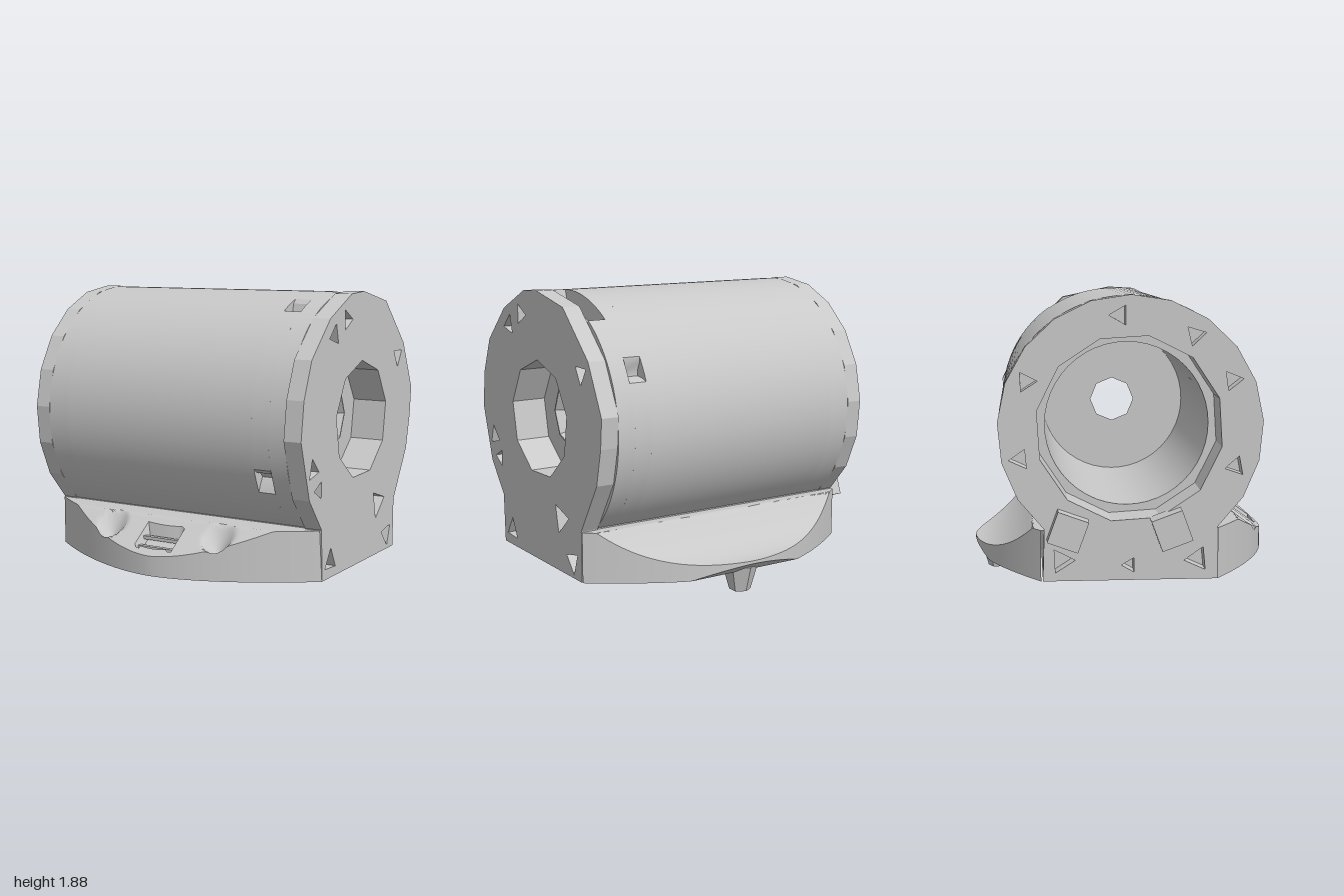
import * as THREE from 'three';
import { toCreasedNormals } from 'three/addons/utils/BufferGeometryUtils.js';

const CY = 1.105;        // height of the bore axis
const BASE = 0.21;       // underside of the foot
const rad = THREE.MathUtils.degToRad;
const points = list => list.map(p => new THREE.Vector2(...p));

export function createModel() {
  const model = new THREE.Group();
  const metal = new THREE.MeshStandardMaterial({ color: 0xc8c8c8 });

  function add(name, geometry, x = 0, y = 0, z = 0) {
    const mesh = new THREE.Mesh(geometry, metal);
    mesh.name = name;
    mesh.position.set(x, y, z);
    model.add(mesh);
    return mesh;
  }

  // Regular polygon hole in the cross-section plane (u = -z, v = y)
  function ngon(u, v, r, n, turn = 0) {
    const pts = [];
    for (let i = 0; i < n; i++) {
      const a = turn + i / n * Math.PI * 2;
      pts.push([u + r * Math.cos(a), v + r * Math.sin(a)]);
    }
    return new THREE.Path(points(pts));
  }

  // Keyhole outline: round barrel on a straight-sided foot, with optional notches
  function outline(r, n, notches = []) {
    const a0 = Math.asin((0.52 - CY) / r);
    const pts = [[-0.52, BASE], [0.51, BASE]];
    for (let i = 0; i <= n; i++) {
      const a = a0 + (Math.PI - 2 * a0) * i / n;
      let d = 0;
      for (const k of notches) {
        const off = Math.abs(a - rad(k.at)) / rad(k.half);
        if (off < 1) d = k.flat ? k.depth : k.depth * (1 - off);
      }
      pts.push([(r - d) * Math.cos(a) - 0.008, CY + (r - d) * Math.sin(a)]);
    }
    return new THREE.Shape(points(pts));
  }

  // Slice of the housing between two x positions
  function slice(name, x0, x1, shape, holes, crease) {
    shape.holes.push(...holes);
    const g = new THREE.ExtrudeGeometry(shape, { depth: x1 - x0, bevelEnabled: false });
    g.rotateY(Math.PI / 2);
    add(name, toCreasedNormals(g, crease), x0);
  }

  // Open end ring with small triangular screw pockets
  const pockets = [85, 25, -15, 155, 200, 125].map((a, i) =>
    ngon(0.66 * Math.cos(rad(a)), CY + 0.66 * Math.sin(rad(a)), 0.065, 3, i));
  pockets.push(ngon(0.4, 0.33, 0.08, 3, 1), ngon(-0.4, 0.33, 0.08, 3, 2), ngon(0, 0.3, 0.05, 3, 0));
  slice('openEndRing', -0.9, -0.8, outline(0.775, 16), [ngon(0, CY, 0.55, 12, 0.2), ...pockets], 0.1);

  // Smooth barrel: wide bore that narrows to the shaft end
  slice('openBore', -0.8, -0.66, outline(0.77, 96), [ngon(0, CY, 0.55, 12, 0.2)], 0.5);
  slice('barrel', -0.66, 0.66, outline(0.77, 96), [ngon(0, CY, 0.49, 48)], 0.5);
  const dents = [115, 203, 28].map(at => ({ at, half: 5, depth: 0.09 }));
  slice('dentedBand', 0.66, 0.77, outline(0.77, 120, dents), [ngon(0, CY, 0.2, 8)], 0.5);
  slice('slottedBand', 0.77, 0.88,
    outline(0.77, 96, [{ at: 74.5, half: 18, depth: 0.12, flat: true }]),
    [ngon(0, CY, 0.36, 9, 0.2)], 0.5);

  // Shaft end plate with uneven rim, deep recess and triangular pockets
  const rim = new THREE.Shape(points([[0.8, 1.07], [0.77, 1.3], [0.68, 1.52], [0.45, 1.74], [0.17, 1.87],
    [0, 1.88], [-0.33, 1.81], [-0.62, 1.53], [-0.765, 1.23], [-0.75, 1.05], [-0.7, 0.83], [-0.62, 0.7],
    [-0.51, 0.52], [-0.51, BASE], [0.52, BASE], [0.53, 0.52], [0.69, 0.72]].map(([z, y]) => [-z, y])));
  const plateHoles = [[0.22, 1.72, 0.07], [0.39, 1.64, 0.07], [-0.53, 1.45, 0.07], [0.64, 0.89, 0.07],
    [0.57, 0.76, 0.06], [-0.26, 0.54, 0.1], [0.41, 0.31, 0.08], [-0.4, 0.31, 0.08]]
    .map(([z, y, r], i) => ngon(-z, y, r, 3, i * 1.3));
  slice('shaftEndPlate', 0.88, 0.99, rim, [ngon(0, CY, 0.36, 9, 0.2), ...plateHoles], 0.1);

  // Tapered sleeve lining the shaft hole
  const sleeve = new THREE.LatheGeometry(
    points([[0.15, -0.11], [0.21, -0.11], [0.21, 0.005], [0.2, 0.005], [0.15, -0.11]]), 8);
  sleeve.rotateZ(-Math.PI / 2);
  add('shaftSleeve', toCreasedNormals(sleeve, 0.1), 0.77, CY);

  // Bowed foot flange, lofted along x; the top drops as it leaves the barrel
  function flange(name, side, topAt, bottomAt) {
    const cols = 84, steps = 28, pos = [], idx = [];
    for (let i = 0; i <= cols; i++) {
      const x = -0.9 + 1.89 * i / cols;
      const k = Math.min(1, Math.abs((x - 0.045) / 0.945));
      const reach = 0.52 + 0.415 * (1 - Math.pow(k, 1.7));
      const ring = [[0.5, BASE]];
      for (let j = 0; j <= steps; j++) {
        const z = 0.5 + (reach - 0.5) * j / steps;
        ring.push([z, topAt(z, x)]);
      }
      ring.push([reach, bottomAt(reach)], [Math.min(reach, 0.84), BASE]);
      for (const [z, y] of ring) pos.push(x, y, side * z);
    }
    const n = steps + 4;
    for (let i = 0; i < cols; i++) for (let j = 0; j < n; j++) {
      const a = i * n + j, b = i * n + (j + 1) % n, c = b + n, d = a + n;
      if (side > 0) idx.push(a, b, c, a, c, d);
      else idx.push(a, c, b, a, d, c);
    }
    const g = new THREE.BufferGeometry();
    g.setAttribute('position', new THREE.Float32BufferAttribute(pos, 3));
    g.setIndex(idx);
    add(name, toCreasedNormals(g, 0.7));
  }

  // Front slope has two round bolt pockets and a wide vent pocket
  function frontTop(z, x) {
    let y = 0.515 - 0.18 * Math.max(0, (z - 0.68) / 0.25);
    for (const bx of [-0.335, 0.43]) {
      y -= 0.12 * Math.max(0, 1 - Math.hypot(x - bx, z - 0.76) / 0.1);
    }
    if (Math.abs(x - 0.045) < 0.135 && Math.abs(z - 0.81) < 0.07) y -= 0.07;
    return y;
  }
  const backTop = z => {
    const t = Math.min(1, Math.max(0, (z - 0.57) / 0.37));
    return 0.295 + 0.22 * Math.pow(1 - t, 2);
  };
  flange('frontFlange', 1, frontTop, () => BASE);
  flange('backFlange', -1, backTop, z => BASE + Math.max(0, z - 0.84) * 0.7);

  // Bars across the vent pocket
  for (const [y, z] of [[0.355, 0.84], [0.4, 0.78]]) {
    add('ventBar', new THREE.BoxGeometry(0.25, 0.02, 0.03), 0.045, y, z);
  }

  // Octagonal mount and pin beneath the foot
  const mount = new THREE.CylinderGeometry(0.43, 0.4, 0.1, 8).rotateY(0.3);
  add('mountDisc', toCreasedNormals(mount, 0.1), 0.05, 0.17, 0);
  const pin = new THREE.CylinderGeometry(0.125, 0.15, 0.13, 6).rotateY(0.2);
  add('mountPin', toCreasedNormals(pin, 0.1), 0.05, 0.065, 0.01);

  // Small boss under the back flange
  const boss = new THREE.CylinderGeometry(0.11, 0.065, 0.16, 6);
  add('backBoss', toCreasedNormals(boss, 0.1), 0.05, 0.16, -0.79);

  // Two tilted lugs on the open end
  for (const [z, tilt] of [[-0.365, 0.35], [0.24, -0.35]]) {
    add('endLug', new THREE.BoxGeometry(0.14, 0.19, 0.19), -0.93, 0.52, z).rotation.x = tilt;
  }

  return model;
}
